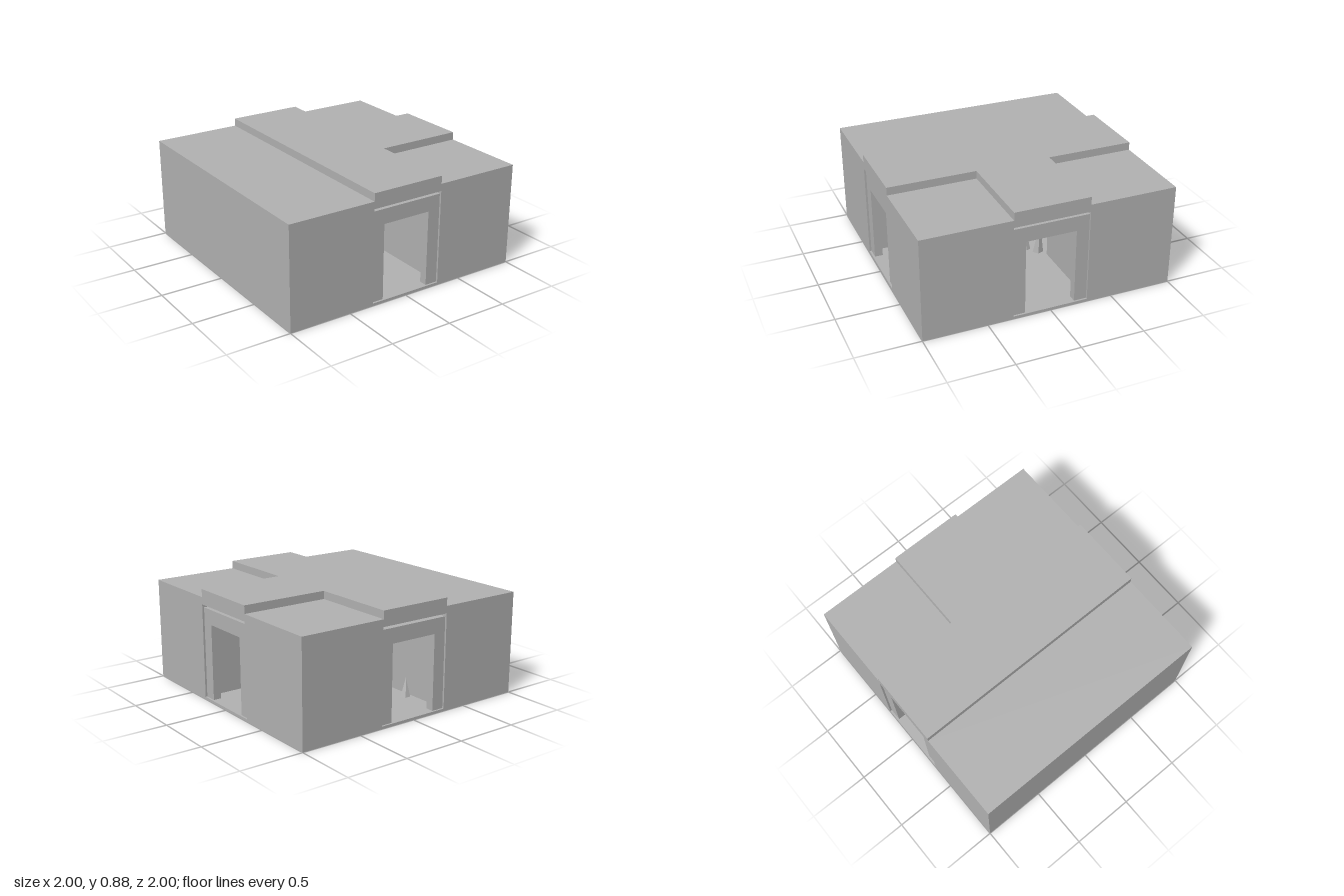
import * as THREE from 'three';

export function createModel() {
  const model = new THREE.Group();
  model.name = 'corridorJunction';
  const stone = new THREE.MeshStandardMaterial({ color: 0xb2b2b2, flatShading: true });
  stone.name = 'grey stone';

  const add = (name, geometry, x = 0, y = 0, z = 0, parent = model) => {
    const mesh = new THREE.Mesh(geometry, stone);
    mesh.name = name;
    mesh.position.set(x, y, z);
    parent.add(mesh);
    return mesh;
  };
  // Box given by its minimum and maximum corners
  const block = (name, a, b, parent) => add(name,
    new THREE.BoxGeometry(b[0] - a[0], b[1] - a[1], b[2] - a[2]),
    (a[0] + b[0]) / 2, (a[1] + b[1]) / 2, (a[2] + b[2]) / 2, parent);
  const outline = (points) => new THREE.Shape(points.map(([x, y]) => new THREE.Vector2(x, y)));

  // Floor and the solid wall blocks around the passages
  block('floor', [-1, 0, -1], [1, 0.02, 1]);
  block('sideWall', [-1, 0.02, -1], [-0.3, 0.82, 1]);
  block('frontCornerWall', [0.3, 0.02, 0.3], [1, 0.82, 1]);
  block('backCornerWall', [0.3, 0.02, -1], [1, 0.82, -0.3]);

  // Raised T-shaped roof over the passages
  const roof = new THREE.ExtrudeGeometry(outline([
    [-0.3, -1], [0.3, -1], [0.3, -0.3], [1, -0.3],
    [1, 0.3], [0.3, 0.3], [0.3, 1], [-0.3, 1],
  ]), { depth: 0.12, bevelEnabled: false });
  roof.rotateX(-Math.PI / 2);
  add('raisedRoof', roof, 0, 0.763, 0);

  // Recessed door frames at the three ends, with an open slot above each
  const frame = new THREE.ExtrudeGeometry(outline([
    [-0.3, 0.02], [-0.2, 0.02], [-0.2, 0.62], [0.2, 0.62],
    [0.2, 0.02], [0.3, 0.02], [0.3, 0.738], [-0.3, 0.738],
  ]), { depth: 0.065, bevelEnabled: false });
  frame.translate(0, 0, 0.92);
  [['frontDoorFrame', 0], ['sideDoorFrame', Math.PI / 2], ['backDoorFrame', Math.PI]]
    .forEach(([name, turn]) => { add(name, frame).rotation.y = turn; });

  // Tapered ceiling bosses
  const boss = new THREE.CylinderGeometry(0.042, 0.024, 0.045, 8);
  [[-0.18, 0.18], [0.18, 0.18], [-0.18, -0.18], [0.18, -0.18],
    [0, 0.6], [0, -0.6], [0.65, 0.18], [0.65, -0.18]]
    .forEach(([x, z]) => add('ceilingBoss', boss, x, 0.742, z));

  // Hanging lanterns on wall brackets, built reaching along +x
  const lantern = (name, x, z, turn) => {
    const group = new THREE.Group();
    group.name = name;
    group.position.set(x, 0, z);
    group.rotation.y = turn;
    block('bracket', [0, 0.535, -0.012], [0.15, 0.555, 0.012], group);
    add('hanger', new THREE.CylinderGeometry(0.003, 0.003, 0.06, 6), 0.147, 0.512, 0, group);
    add('lanternCap', new THREE.CylinderGeometry(0.019, 0.019, 0.012, 8), 0.147, 0.48, 0, group);
    add('lanternBody', new THREE.CylinderGeometry(0.016, 0.016, 0.04, 8), 0.147, 0.455, 0, group);
    add('lanternBase', new THREE.CylinderGeometry(0.019, 0.019, 0.012, 8), 0.147, 0.432, 0, group);
    model.add(group);
  };
  lantern('sideWallLantern', -0.3, 0.5, 0);
  lantern('branchLantern', 0.65, 0.3, Math.PI / 2);

  // Leaning rock spikes on the floor: base x, z, radius, height, lean x, lean z
  const spikes = [
    [0.152, -0.185, 0.035, 0.22, -0.026, 0.005],
    [0.225, -0.255, 0.045, 0.26, 0.015, -0.01],
    [0.49, 0.25, 0.045, 0.12, 0.01, 0],
    [-0.25, -0.62, 0.04, 0.15, -0.01, 0.01],
  ];
  for (const [x, z, radius, height, leanX, leanZ] of spikes) {
    const spike = new THREE.ConeGeometry(radius, height, 5);
    spike.translate(0, height / 2, 0);
    const p = spike.attributes.position;
    for (let i = 0; i < p.count; i++) {
      const t = p.getY(i) / height;
      p.setX(i, p.getX(i) + leanX * t);
      p.setZ(i, p.getZ(i) + leanZ * t);
    }
    spike.computeVertexNormals();
    add('rockSpike', spike, x, 0.018, z);
  }
  return model;
}
